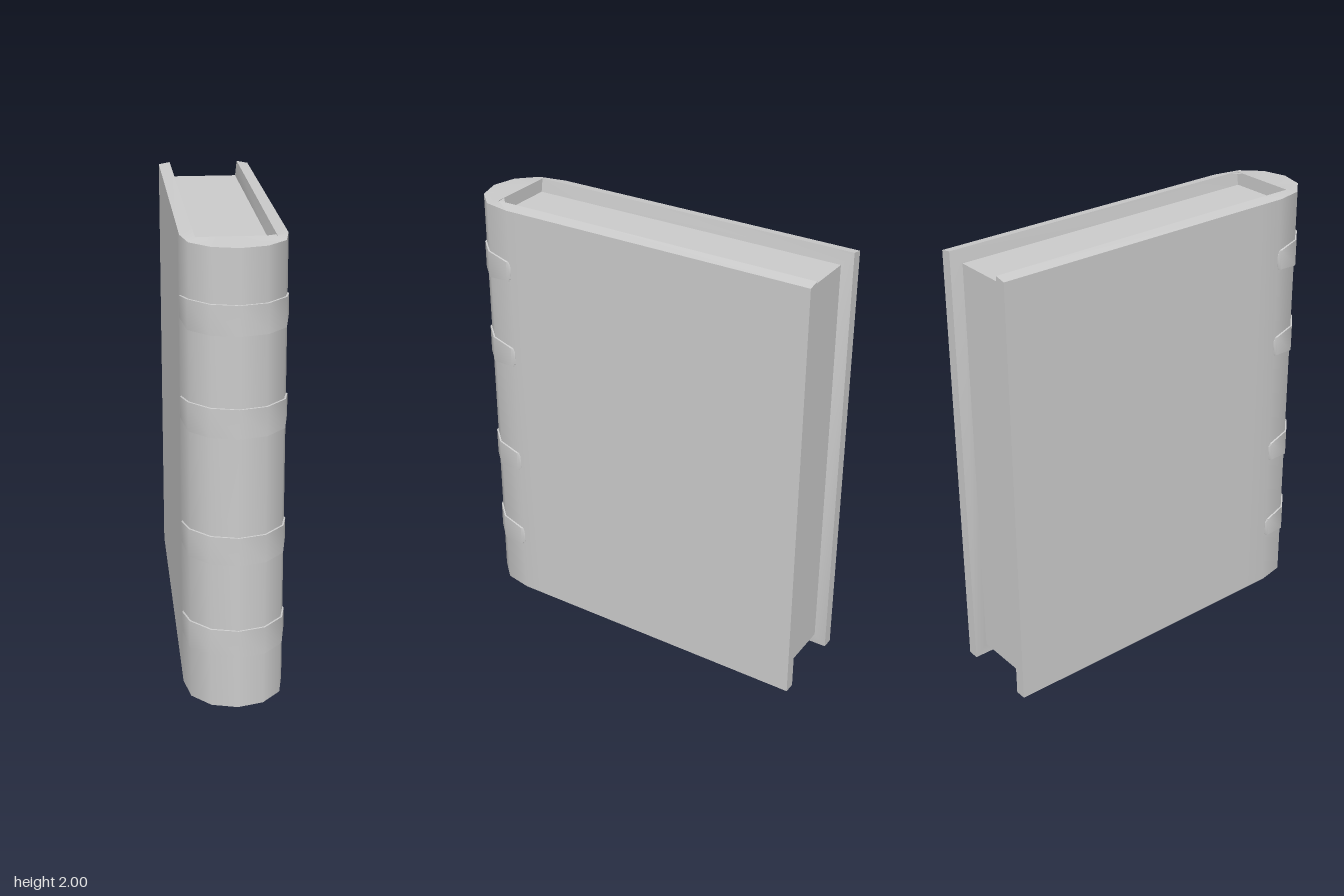
import * as THREE from 'three';
import { toCreasedNormals } from 'three/addons/utils/BufferGeometryUtils.js';

const grey = new THREE.MeshStandardMaterial({ color: 0xcccccc });

// Joins neighbouring cross-sections with quads; 'skip' leaves out one strip.
function sweep(sections, closed, skip, caps) {
  const pos = [];
  const quad = (a, b, c, d) => pos.push(...a, ...b, ...c, ...a, ...c, ...d);
  const n = sections[0].length;
  for (let s = 0; s < sections.length - 1; s++) {
    const p = sections[s], q = sections[s + 1];
    for (let i = 0; i < (closed ? n : n - 1); i++) {
      if (i === skip) continue;
      const j = (i + 1) % n;
      quad(p[i], p[j], q[j], q[i]);
    }
  }
  const first = sections[0], last = sections[sections.length - 1];
  for (const c of caps) {
    quad(...[...c].reverse().map(i => first[i]));
    quad(...c.map(i => last[i]));
  }
  const geo = new THREE.BufferGeometry();
  geo.setAttribute('position', new THREE.Float32BufferAttribute(pos, 3));
  return toCreasedNormals(geo, 0.7);
}

// Continues a half path of cross-sections, ending on x = 0, with its mirror image.
function mirrored(half) {
  const other = half.slice(0, -1).reverse();
  return [...half, ...other.map(section => section.map(([x, y, z]) => [-x, y, z]))];
}

function mesh(name, geo) {
  const m = new THREE.Mesh(geo, grey);
  m.name = name;
  return m;
}

export function createModel() {
  const book = new THREE.Group();
  book.name = 'book';

  // Cover: U-shaped path of [outer x, outer z, rim x, rim z, page x, page z]
  const cover = [
    [0.215, -0.85, 0.163, -0.85, 0.15, -0.8],
    [0.215, 0.5, 0.16, 0.5, 0.15, 0.5],
    [0.215, 0.61, 0.16, 0.695, 0.15, 0.695],
    [0.19, 0.735, 0.12, 0.695, 0.12, 0.695],
    [0.11, 0.816, 0.07, 0.695, 0.07, 0.695],
    [0, 0.845, 0, 0.695, 0, 0.695],
  ].map(([ox, oz, rx, rz, px, pz]) => [
    [ox, 0, oz], [ox, 1.99, oz], [rx, 2, rz],
    [px, 1.94, pz], [px, 0.06, pz], [rx, 0, rz],
  ]);
  book.add(mesh('cover', sweep(mirrored(cover), true, 3, [[0, 1, 2, 5], [2, 3, 4, 5]])));

  // Page block
  const pages = mesh('pages', new THREE.BoxGeometry(0.3, 1.88, 1.495));
  pages.position.set(0, 1, -0.0525);
  book.add(pages);

  // Raised bands round the spine, narrowing at their ends:
  // [base x, base z, raised x, raised z, half height]
  const bandPath = [
    [0.214, 0.605, 0.216, 0.605, 0.03],
    [0.214, 0.615, 0.219, 0.625, 0.045],
    [0.19, 0.735, 0.196, 0.739, 0.062],
    [0.11, 0.816, 0.114, 0.822, 0.062],
    [0, 0.845, 0, 0.85, 0.062],
  ];
  for (const y of [0.302, 0.727, 1.281, 1.704]) {
    const band = bandPath.map(([bx, bz, rx, rz, h]) => [
      [bx, y - h - 0.001, bz], [rx, y - h, rz], [rx, y + h, rz], [bx, y + h + 0.001, bz],
    ]);
    book.add(mesh('spineBand', sweep(mirrored(band), false, -1, [[0, 1, 2, 3]])));
  }
  return book;
}
